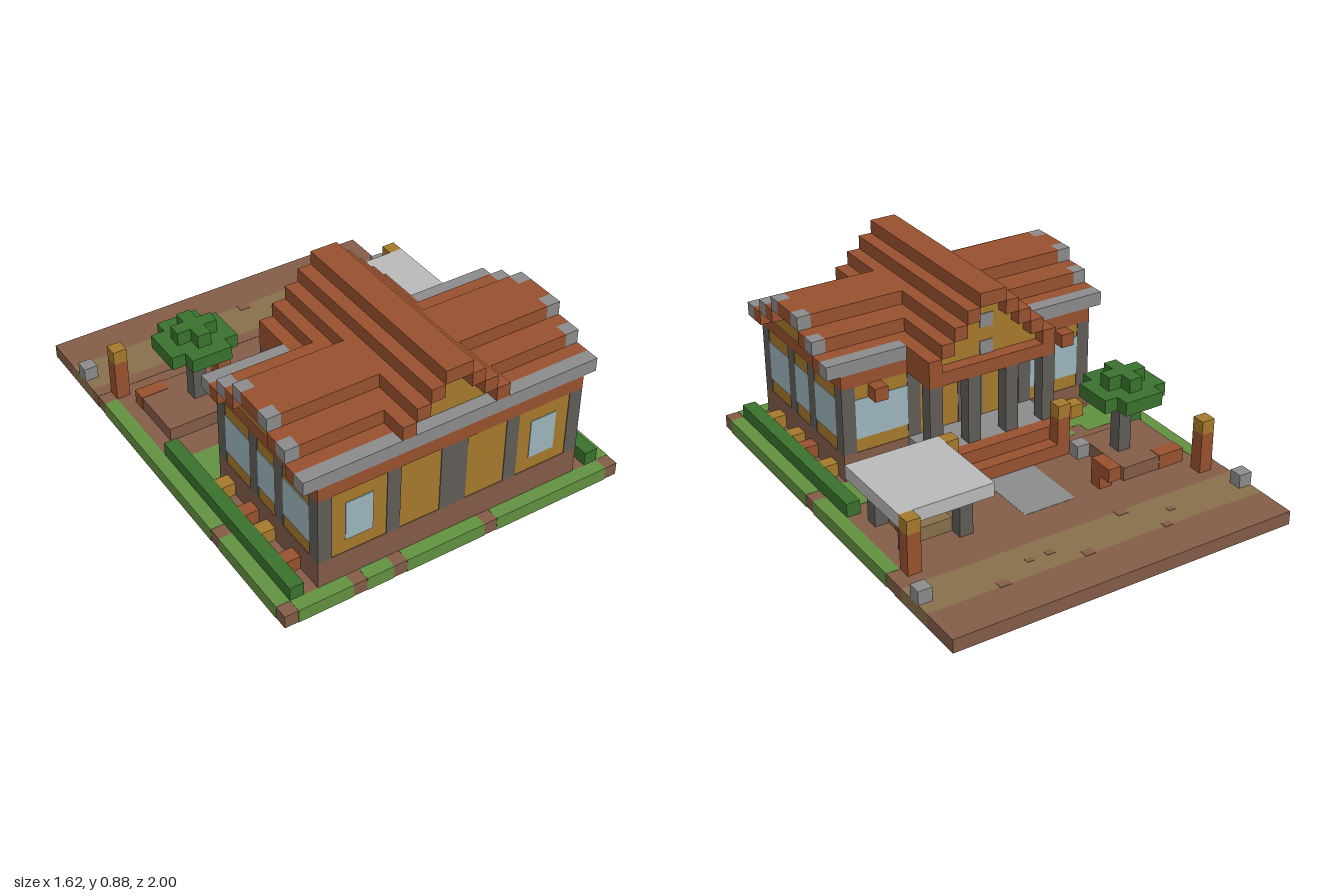
import * as THREE from 'three';

const U = 1 / 16; // one block

const mat = (name, hex) => {
  const m = new THREE.MeshStandardMaterial({ color: hex });
  m.name = name;
  return m;
};

export function createModel() {
  const root = new THREE.Group();
  root.name = 'stationHouse';
  const earth = mat('earth brown', 0x835c48);
  const wood = mat('red timber', 0x98512f);
  const grass = mat('grass green', 0x629140);
  const leaf = mat('leaf green', 0x3a722d);
  const stone = mat('stone grey', 0x8b8b8b);
  const slab = mat('pale slab', 0xb9b9b9);
  const pillar = mat('dark pillar', 0x605d58);
  const ochre = mat('ochre', 0xa5792b);
  const glass = mat('window glass', 0x9db5bd);
  const straw = mat('dry straw', 0x87704a);

  // Box from its limits, in blocks
  const box = (name, m, x0, x1, y0, y1, z0, z1) => {
    const g = new THREE.BoxGeometry((x1 - x0) * U, (y1 - y0) * U, (z1 - z0) * U);
    const mesh = new THREE.Mesh(g, m);
    mesh.position.set((x0 + x1) / 2 * U, (y0 + y1) / 2 * U, (z0 + z1) / 2 * U);
    mesh.name = name;
    root.add(mesh);
    return mesh;
  };
  // The same box on both sides of x = 0
  const pair = (name, m, x0, x1, ...rest) => {
    box(name + 'Left', m, x0, x1, ...rest);
    box(name + 'Right', m, -x1, -x0, ...rest);
  };
  const cube = (name, m, x, y, z) => box(name, m, x, x + 1, y, y + 1, z, z + 1);

  // Ground, with patches running through its full depth
  box('ground', earth, -12.98, 12.98, 0.03, 0.98, -15.98, 15.98);
  const patch = (name, m, x0, x1, z0, z1) => box(name, m, x0, x1, 0, 1, z0, z1);
  patch('backEdge', earth, -13, 13, -16, -13);
  patch('strawTrack', straw, -13, 13, -13.1, -9.9);
  patch('yardEdge', earth, -13, 13, -9.9, -9);
  [[-5.5, -13.1, 0.6], [0.6, -13.1, 0.8], [-3.9, -10.4, 0.8], [7, -13.1, 0.8], [2.8, -11.7, 0.6],
    [-6.8, -11.7, 0.5], [4.4, -11.7, 0.5]].forEach(([x, z, w]) =>
    box('trackSpot', earth, x, x + w, 0.5, 1.03, z, z + w * 0.8));
  patch('grassLeft', grass, 12, 13, -8, 2);
  patch('grassLeftFront', grass, 12, 13, 3, 15);
  patch('grassRight', grass, -13, -12, -8, 7);
  patch('grassRightFront', grass, -13, -12, 8, 15);
  [[-12, -8], [-7, -5], [-4, 2], [3, 12]].forEach(([a, b]) => patch('grassFront', grass, a, b, 15, 16));
  pair('gardenBed', grass, 5, 11, 0, 1, 1, 3);
  patch('gardenBedBack', grass, 5, 11, 0, 1);
  [[-11, -8], [-7, -6]].forEach(([a, b]) => patch('gardenBedBack', grass, a, b, 0, 1));
  patch('pavedPatch', stone, -2, 2, -7, -2);

  // Hedges, corner stones and gate posts
  pair('hedge', leaf, 11, 12, 1, 2, -1, 15);
  pair('boundaryStone', stone, 12, 13, 1, 2, -12, -11);
  pair('gatePost', wood, 11, 12, 1, 4, -9, -8);
  pair('gatePostCap', ochre, 11, 12, 4, 5, -9, -8);

  // Flowers by the house
  [[-9, ochre], [-8, wood], [-7, ochre], [7, ochre], [7, ochre], [6.5, wood]].slice(0, 4)
    .forEach(([x, m]) => cube('flower', m, x, 1, 2));
  cube('shrub', leaf, 8, 1, 2);
  [4, 7, 9, 12].forEach((z, i) => {
    cube('sideFlowerLeft', i === 1 ? wood : ochre, 10, 1, z);
    cube('sideFlowerRight', i % 2 ? wood : ochre, -11, 1, z);
  });

  // House body
  box('houseBase', earth, -10, 10, 1, 3, 3, 15);
  box('houseWalls', ochre, -9.95, 9.95, 3, 8, 3.05, 14.95);
  box('wallBeam', wood, -10, 10, 8, 9, 3, 15);
  for (const z of [3, 14]) pair('cornerPillar', pillar, 9, 10, 3, 8, z, z + 1);
  // Front and back pillars
  for (const [z0, z1] of [[14.5, 15], [3, 3.5]]) {
    pair('wallPillar', pillar, 4, 5, 3, 8, z0, z1);
    box('middlePillar', pillar, -1, 1, 3, 8, z0, z1);
  }
  pair('frontWindow', glass, 6, 8, 4, 7, 14.9, 15);
  pair('backWindow', glass, 5, 9, 4, 7, 3, 3.1);
  // Side pillars and windows
  for (const z of [10, 7]) pair('sidePillar', pillar, 9.5, 10, 3, 8, z, z + 1);
  for (const [a, b] of [[4, 7], [8, 10], [11, 14]]) pair('sideWindow', glass, 9.9, 10, 4, 7, a, b);
  pair('wallLantern', wood, 7, 8, 7, 8, 2, 3);

  // Main roof: stepped layers with grey verges and ochre gable ends
  for (let i = 0; i < 3; i++) {
    const y = 9 + i, a = 3 + 2 * i, b = 15 - 2 * i, e = i ? 0 : 1;
    box('roofLayer', wood, -10, 10, y, y + 1, a + e, b - e);
    pair('vergeFront', stone, 10, 11, y, y + 1, b - 1, b);
    pair('vergeBack', stone, 10, 11, y, y + 1, a, a + 1);
    if (i < 2) {
      pair('roofEndFront', wood, 10, 11, y, y + 1, b - 2, b - 1);
      pair('roofEndBack', wood, 10, 11, y, y + 1, a + 1, a + 2);
      pair('sideGable', ochre, 10, 10.05, y, y + 1, a + 2, b - 2);
    } else {
      pair('roofEndTop', wood, 10, 11, y, y + 1, a + 1, b - 1);
    }
  }
  box('frontEave', stone, -10, 10, 9, 10, 14, 15);
  pair('backEave', stone, 5, 10, 9, 10, 3, 4);

  // Cross gable running front to back
  for (let k = 0; k < 5; k++) {
    const y = 9 + k, w = 5 - k;
    box('crossRoof', wood, -w, w, y, y + 1, 1, k ? 14 : 4);
    if (k === 4) {
      box('ridgeBack', wood, -w, w, y, y + 1, 0, 1);
      box('ridgeFront', wood, -w, w, y, y + 1, 14, 15);
      continue;
    }
    pair('bargeBack', wood, w - 1, w, y, y + 1, 0, 1);
    box('backGable', ochre, 1 - w, w - 1, y, y + 1, 0.95, 1);
    if (k) {
      pair('bargeFront', wood, w - 1, w, y, y + 1, 14, 15);
      box('frontGable', ochre, 1 - w, w - 1, y, y + 1, 14, 14.05);
    }
  }
  for (const y of [9, 11]) box('gableDisc', stone, -0.5, 0.5, y, y + 1, 0.88, 0.95);

  // Porch: floor, posts, beam, steps and newel posts
  box('porchFloor', stone, -5, 5, 1, 3, 0, 3);
  pair('porchPost', pillar, 4, 5, 3, 8, 0, 1);
  pair('innerPorchPost', pillar, 1, 2, 3, 8, 0, 1);
  box('porchBeam', wood, -5, 5, 8, 9, 0, 3);
  box('upperStep', wood, -5, 5, 1, 3, -1, 0);
  box('lowerStep', wood, -4, 4, 1, 2, -2, -1);
  pair('newelPost', wood, 4, 5, 1, 4, -2, -1);
  pair('newelCap', ochre, 4, 5, 4, 5, -2, -1);
  pair('gardenStone', stone, 5, 6, 1, 2, -3, -2);

  // Shelter with a straw bale and hanging lantern
  box('shelterRoof', slab, 5, 12, 4, 5, -8, -1);
  for (const x of [6, 10]) for (const z of [-7, -3]) box('shelterPost', pillar, x, x + 1, 1, 4, z, z + 1);
  box('strawBale', straw, 7, 10, 1, 2, -6, -3);
  box('baleBand', wood, 6.95, 10.05, 1, 2.05, -5, -4);
  cube('shelterLantern', ochre, 8, 3, -5);

  // Tree in its planter
  box('planter', earth, -11, -6, 1, 2, -7, -2);
  box('planterCorner', wood, -11.04, -9, 1, 2.04, -7.04, -6);
  box('trunk', pillar, -8, -7, 2, 6, -5, -4);
  box('canopyAcross', leaf, -10, -5, 6, 7, -6, -3);
  box('canopyBack', leaf, -9, -6, 6, 7, -7, -6);
  box('canopyFront', leaf, -9, -6, 6, 7, -3, -2);
  box('crownAcross', leaf, -9, -6, 7, 8, -5, -4);
  box('crownBack', leaf, -8, -7, 7, 8, -6, -5);
  box('crownFront', leaf, -8, -7, 7, 8, -4, -3);

  // Small stool by the tree
  box('stoolLeg', wood, -5, -4, 1, 3, -7, -6);
  cube('stoolSeat', wood, -5, 2, -8);

  return root;
}
